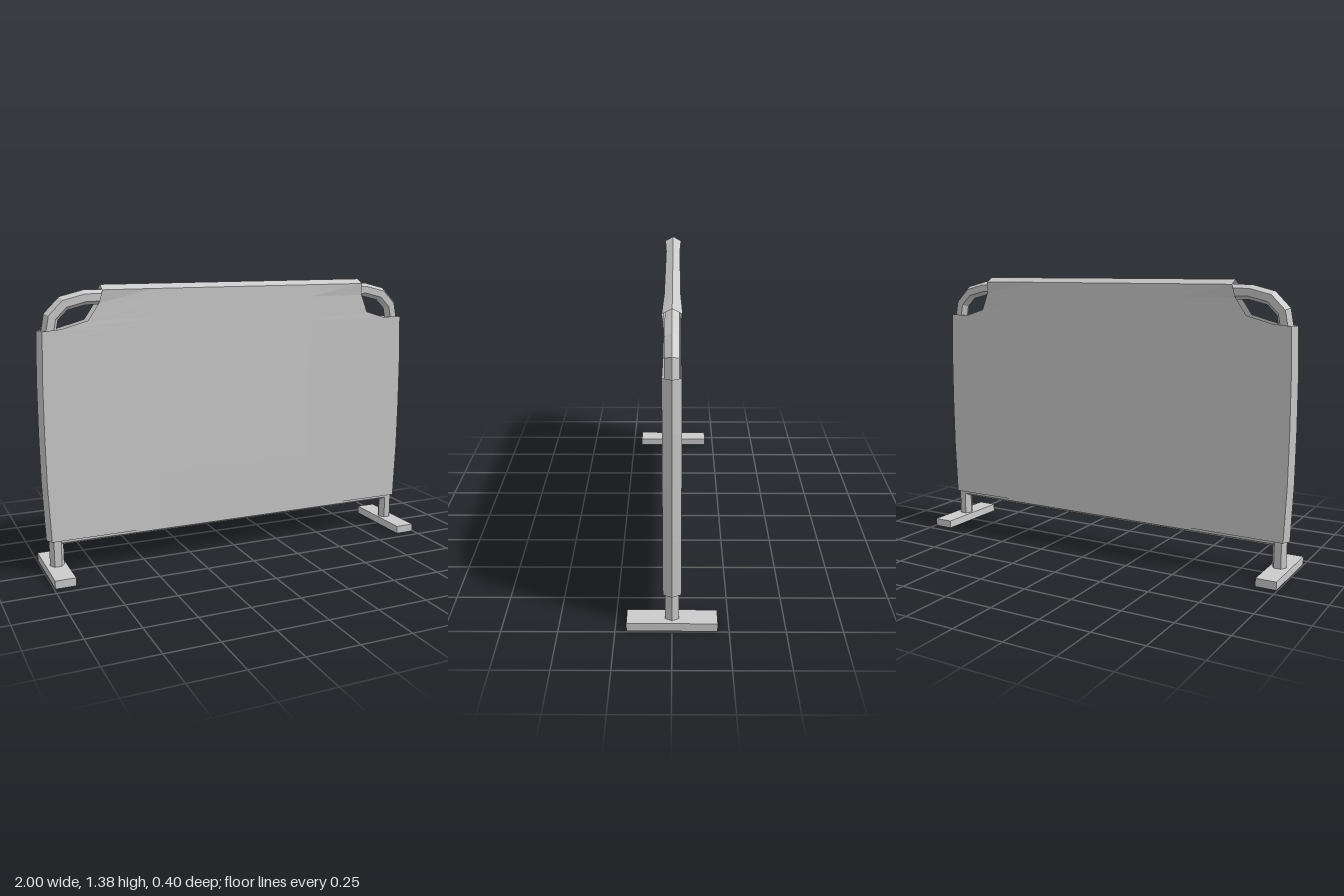
import * as THREE from 'three';

const metal = new THREE.MeshStandardMaterial({ color: 0xcccccc, flatShading: true });
const fabric = new THREE.MeshStandardMaterial({ color: 0xcccccc, flatShading: true, side: THREE.DoubleSide });

// Lofts a grid of rows (arrays of [x, y, z]) into a surface
function loft(rows) {
  const n = rows[0].length;
  const index = [];
  for (let i = 0; i < rows.length - 1; i++) {
    for (let j = 0; j < n - 1; j++) {
      const a = i * n + j, b = a + n;
      index.push(a, b, a + 1, b, b + 1, a + 1);
    }
  }
  const g = new THREE.BufferGeometry();
  g.setAttribute('position', new THREE.Float32BufferAttribute(rows.flat(2), 3));
  g.setIndex(index);
  g.computeVertexNormals();
  return g;
}

// Six-sided tube with mitred joints along a path in the xy plane
function hexTube(path, r) {
  const pts = path.map(([x, y]) => new THREE.Vector2(x, y));
  const rows = pts.map((p, i) => {
    const before = p.clone().sub(pts[Math.max(i - 1, 0)]).normalize();
    const after = pts[Math.min(i + 1, pts.length - 1)].clone().sub(p).normalize();
    const t = before.clone().add(after).normalize();
    const miter = 1 / t.dot(i ? before : after);
    const row = [];
    for (let k = 0; k <= 6; k++) {
      const a = (-k * Math.PI) / 3;
      const u = Math.cos(a) * r * miter;
      row.push([p.x - t.y * u, p.y + t.x * u, Math.sin(a) * r]);
    }
    return row;
  });
  return loft(rows);
}

export function createModel() {
  const group = new THREE.Group();
  const add = (name, geometry, material) => {
    const mesh = new THREE.Mesh(geometry, material);
    mesh.name = name;
    group.add(mesh);
    return mesh;
  };

  // Arched frame and its lower rail
  const half = [[0.94, 0.03], [0.94, 1.14], [0.92, 1.24], [0.86, 1.3], [0.76, 1.325]];
  const arch = [...half.map(([x, y]) => [-x, y]), ...[...half].reverse()];
  add('frame', hexTube(arch, 0.035), metal);
  add('lowerRail', hexTube([[-0.92, 0.175], [0.92, 0.175]], 0.035), metal);

  // Flat feet
  for (const [name, s] of [['leftFoot', 1], ['rightFoot', -1]]) {
    add(name, new THREE.BoxGeometry(0.1, 0.04, 0.4), metal).position.set(s * 0.945, 0.02, 0);
  }

  // Fabric cover: sheets with cut-away top corners, pinched below the top rail
  // and slightly thinner between the middle stations
  const depth = 0.04, middle = 0.42, middleDepth = 0.036;
  const side = [[0.967, 0.17], [0.978, 0.45], [0.98, 0.7], [0.978, 0.95], [0.97, 1.178]];
  // Cut levels: left x, left y, right x, right y, depth
  const cuts = [
    [0.86, 1.178, -0.88, 1.185, 0.039],
    [0.76, 1.21, -0.755, 1.22, 0.037],
    [0.725, 1.3, -0.7, 1.3, 0.036],
    [0.72, 1.36, -0.685, 1.36, 0.043],
  ];
  const levels = [...side.map(([x, y]) => [x, y, -x, y, depth]), ...cuts];
  for (const [name, s] of [['frontSheet', 1], ['backSheet', -1]]) {
    const rows = levels.map(([xl, yl, xr, yr, d]) => {
      const row = [
        [xl, yl, s * d],
        [middle, yl, s * middleDepth],
        [-middle, yr, s * middleDepth],
        [xr, yr, s * d],
      ];
      return s > 0 ? row : row.reverse();
    });
    add(name, loft(rows), fabric);
  }

  // Ridged folds closing the cover around the posts and the top rail
  for (const [name, s] of [['leftFold', 1], ['rightFold', -1]]) {
    const rows = side.map(([x, y]) => [[s * x, y, -s * depth], [s * (x + 0.02), y, 0], [s * x, y, s * depth]]);
    add(name, loft(rows), fabric);
  }
  const topRow = ([x, d]) => [[x, 1.36, d], [x, 1.383, 0], [x, 1.36, -d]];
  const stations = [[-0.685, 0.043], [-middle, middleDepth], [middle, middleDepth], [0.72, 0.043]];
  add('topFold', loft(stations.map(topRow)), fabric);

  return group;
}
